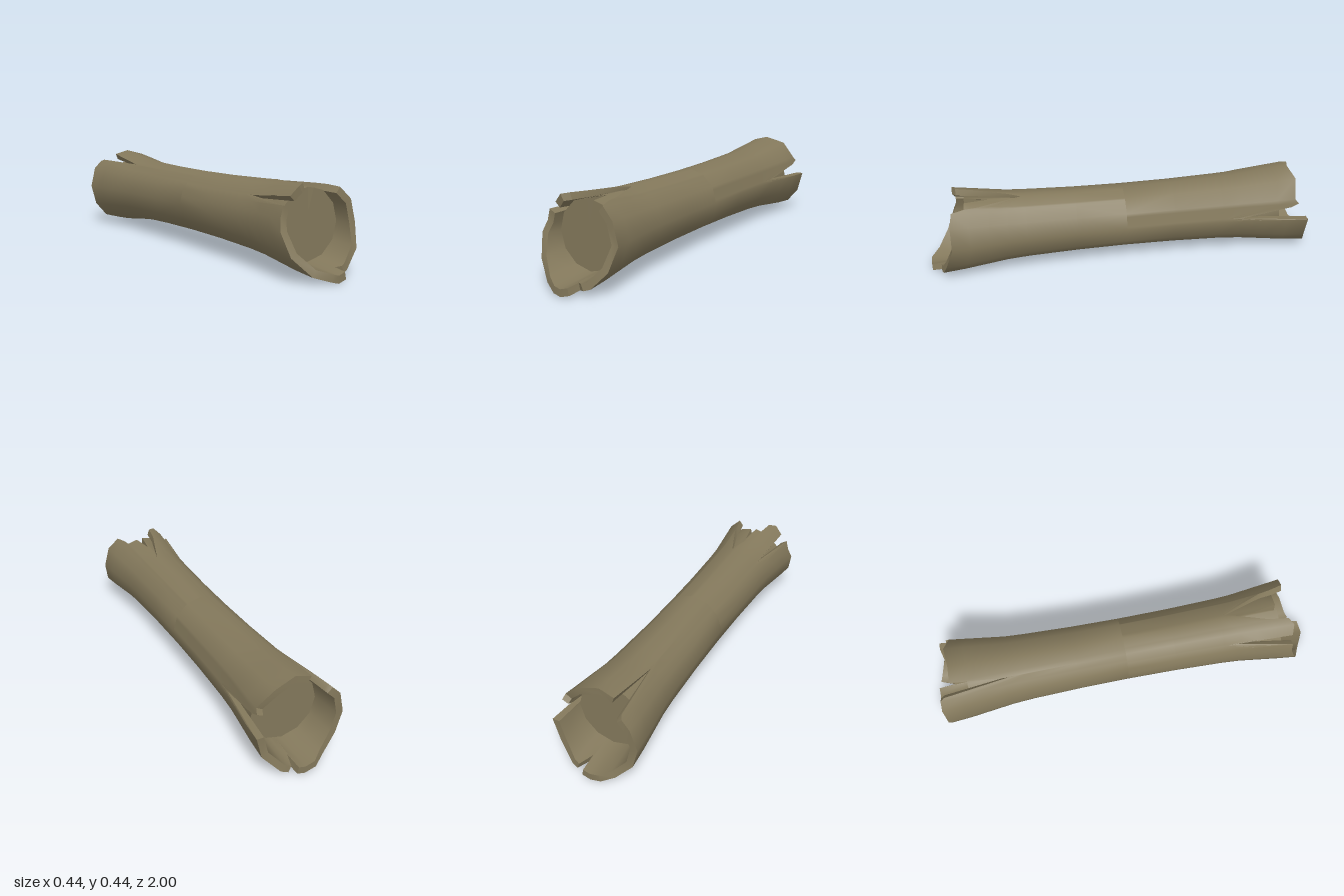
import * as THREE from 'three';
import { toCreasedNormals } from 'three/addons/utils/BufferGeometryUtils.js';

const CENTER_Y = 0.222, CAP_Z = 0.8;

// Jagged ends: [angle in degrees, distance from the middle]; dips are splits
const FRONT_EDGE = [
  [0, 0.87], [30, 0.87], [52, 0.86], [57, 0.8], [60, 0.73], [83, 0.52], [90, 0.585], [106, 0.74], [110, 0.84],
  [120, 0.86], [136, 0.85], [139, 0.57], [150, 0.85], [165, 0.85], [180, 0.87], [210, 0.91], [240, 0.96],
  [260, 1], [270, 1], [282, 0.995], [284, 0.93], [292, 0.945], [300, 0.935], [330, 0.91]
];
const BACK_EDGE = [
  [0, 0.94], [5, 0.6], [19, 0.85], [24, 0.89], [30, 0.87], [60, 0.89], [90, 0.875], [112, 0.88], [120, 0.63],
  [121, 0.6], [131, 0.92], [135, 0.94], [150, 0.945], [180, 0.94], [210, 0.94], [240, 0.965], [255, 1], [270, 1],
  [281, 1], [283, 0.91], [291, 0.985], [300, 0.975], [330, 0.94]
];

// Solid heartwood inside the bark
const BACK_CORE = Array.from({ length: 12 }, (_, i) => [i * 30, CAP_Z]);
const FRONT_CORE = [
  ...BACK_CORE.slice(0, 3), [80, CAP_Z], [87, 0.68], [90, 0.752], [92, CAP_Z], ...BACK_CORE.slice(4)
];

// Radius of the trunk, flaring towards the ends
function outerRadius(z) {
  if (z < 0.58) return 0.162 + 0.014 * (z / 0.58) ** 2;
  return z < 0.87 ? 0.176 + (z - 0.58) / 0.29 * 0.037 : 0.213 + (z - 0.87) / 0.13 * 0.009;
}
const innerRadius = z =>
  outerRadius(z) - THREE.MathUtils.lerp(0.015, 0.035, THREE.MathUtils.clamp((z - 0.5) / 0.3, 0, 1));

// Point on a twelve-sided section
function sectionPoint(deg, r) {
  const a = THREE.MathUtils.degToRad(deg);
  const off = THREE.MathUtils.degToRad(deg % 30 - 15);
  const k = r * Math.cos(Math.PI / 12) / Math.cos(off);
  return [Math.cos(a) * k, CENTER_Y + Math.sin(a) * k];
}

// Sweeps a profile around the trunk; profile(end) returns [radius, z] pairs
function sweep(edge, profile, side) {
  const pos = [], index = [];
  const rows = profile(1).length, n = edge.length;
  for (const [deg, end] of edge) {
    for (const [r, z] of profile(end)) pos.push(...sectionPoint(deg, r), z * side);
  }
  for (let i = 0; i < n; i++) {
    for (let j = 0; j < rows - 1; j++) {
      const a = i * rows + j, b = (i + 1) % n * rows + j;
      if (side > 0) index.push(a, b, b + 1, a, b + 1, a + 1);
      else index.push(a, b + 1, b, a, a + 1, b + 1);
    }
  }
  const geo = new THREE.BufferGeometry();
  geo.setAttribute('position', new THREE.Float32BufferAttribute(pos, 3));
  geo.setIndex(index);
  return toCreasedNormals(geo, 0.62);
}

const stations = end => [0, 0.25, 0.5, ...[0.25, 0.5, 0.75, 1].map(t => THREE.MathUtils.lerp(0.5, end, t))];

// Outside of the bark, broken rim, then back along the inside
const barkProfile = end => [
  ...stations(end).map(z => [outerRadius(z), z]),
  ...stations(end).slice(2).reverse().map(z => [innerRadius(z), z])
];
const coreProfile = end => stations(end).slice(2).map(z => [innerRadius(z) - 0.002, z]);

export function createModel() {
  const model = new THREE.Group();
  model.name = 'hollowLog';
  const wood = new THREE.MeshStandardMaterial({ color: 0x83785b, side: THREE.DoubleSide });
  wood.name = 'weatheredWood';
  const add = (name, geo) => {
    const mesh = new THREE.Mesh(geo, wood);
    mesh.name = name;
    model.add(mesh);
    return mesh;
  };
  const capRadius = innerRadius(CAP_Z) - 0.002;

  // Bark and heartwood of each half
  add('frontBark', sweep(FRONT_EDGE, barkProfile, 1));
  add('backBark', sweep(BACK_EDGE, barkProfile, -1));
  add('frontCore', sweep(FRONT_CORE, coreProfile, 1));
  add('backCore', sweep(BACK_CORE, coreProfile, -1));

  // Front cut face with a wedge missing at the top
  const crackTip = [0, 0.28];
  const outline = FRONT_CORE.filter(c => c[1] === CAP_Z).map(([deg]) => sectionPoint(deg, capRadius));
  outline.splice(4, 0, crackTip);
  const frontFace = new THREE.Shape(outline.map(p => new THREE.Vector2(...p)));
  add('frontCutFace', new THREE.ShapeGeometry(frontFace)).position.z = CAP_Z;

  // Back cut face
  const backFace = new THREE.Shape(BACK_CORE.map(([deg]) => new THREE.Vector2(...sectionPoint(deg, capRadius))));
  const back = add('backCutFace', new THREE.ShapeGeometry(backFace));
  back.rotation.y = Math.PI;
  back.position.z = -CAP_Z;

  // Two walls of the crack in the front face
  const tip = [...crackTip, CAP_Z];
  const root = [...sectionPoint(87, innerRadius(0.68) - 0.002), 0.68];
  const right = [...sectionPoint(80, capRadius), CAP_Z];
  const left = [...sectionPoint(92, capRadius), CAP_Z];
  const crack = new THREE.BufferGeometry();
  crack.setAttribute('position', new THREE.Float32BufferAttribute([tip, right, root, tip, root, left].flat(), 3));
  crack.computeVertexNormals();
  add('crackWalls', crack);

  return model;
}
